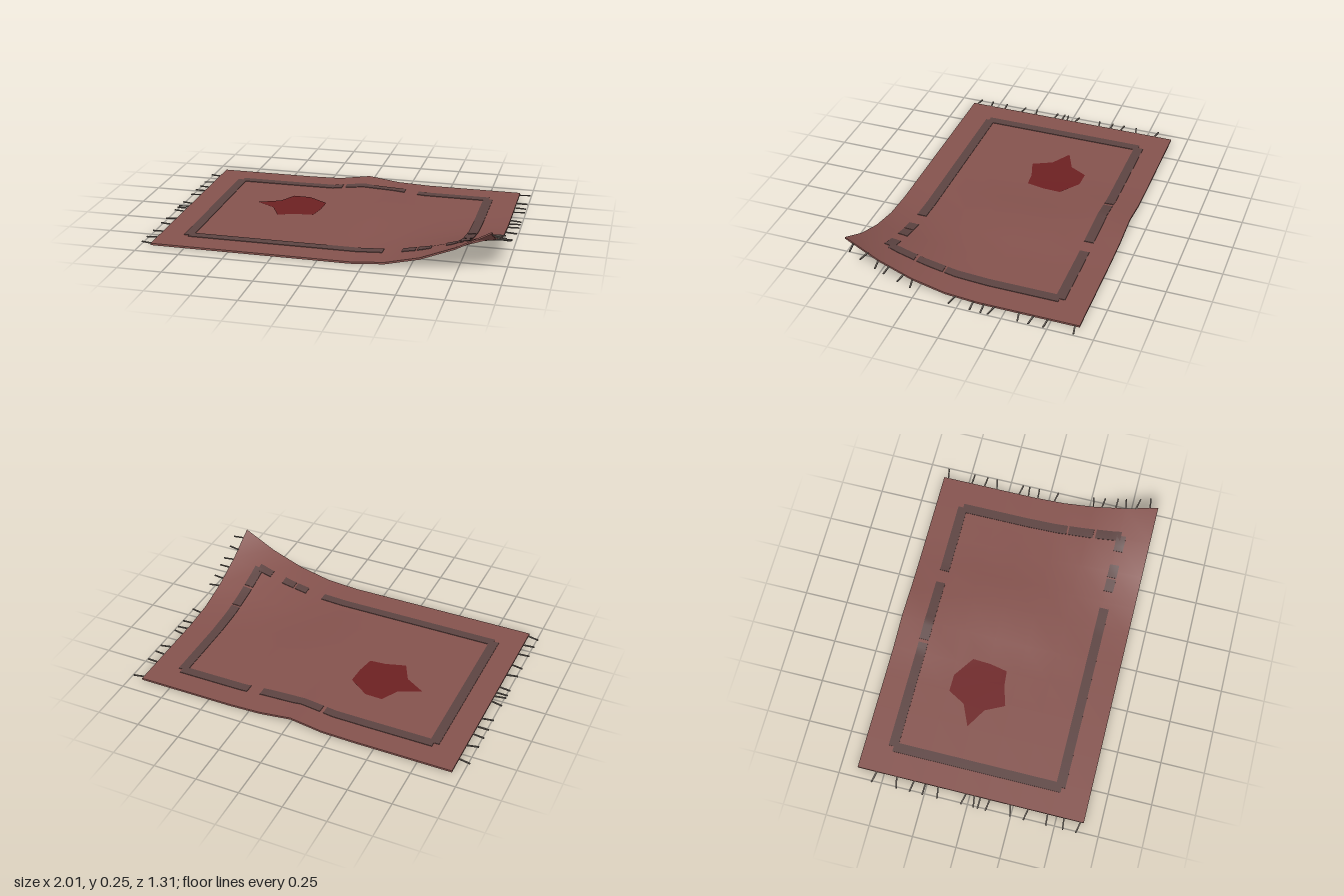
import * as THREE from 'three';

const X0 = -0.945, Z0 = -0.655, STEP = 0.1875, NX = 10, NZ = 7, THICK = 0.011;
const W = 1.875, D = 1.31, SX = W / NX, SZ = D / NZ;

// Height rule: one curled corner plus a slanting fold that fades out
function lift(x, z) {
  const d = Math.hypot(X0 + W - x, Z0 + D - z);
  const curl = 0.238 * Math.max(0, 1 - d / (4 * STEP)) ** 2;
  const centre = 0.01 + 0.3 * (z - Z0);
  const fade = 1 - THREE.MathUtils.smoothstep(z, 0, 0.4);
  const fold = 0.033 * Math.exp(-(((x - centre) / 0.14) ** 2)) * fade;
  return curl + fold;
}

// Height of the faceted top surface
function surface(x, z) {
  const u = THREE.MathUtils.clamp((x - X0) / SX, 0, NX - 1e-6);
  const v = THREE.MathUtils.clamp((z - Z0) / SZ, 0, NZ - 1e-6);
  const i = Math.floor(u), j = Math.floor(v), fx = u - i, fz = v - j;
  const h = (a, b) => lift(X0 + (i + a) * SX, Z0 + (j + b) * SZ);
  const b = h(0, 1), d = h(1, 0);
  if (fx + fz <= 1) return THICK + h(0, 0) * (1 - fx - fz) + d * fx + b * fz;
  return THICK + h(1, 1) * (fx + fz - 1) + b * (1 - fx) + d * (1 - fz);
}

// Lay a flat geometry on the rug
function drape(geo, offset) {
  const p = geo.attributes.position;
  for (let i = 0; i < p.count; i++) {
    p.setY(i, p.getY(i) + surface(p.getX(i), p.getZ(i)) + offset);
  }
  geo.computeVertexNormals();
  return geo;
}

export function createModel() {
  const group = new THREE.Group();
  const mat = (name, color) => {
    const m = new THREE.MeshStandardMaterial({ color });
    m.name = name;
    return m;
  };
  const rugRed = mat('faded red', 0x84524d);
  const borderBrown = mat('border brown', 0x5c4341);
  const stainRed = mat('stain red', 0x6c2022);
  const threadGrey = mat('thread grey', 0x6e665f);
  const add = (name, geo, material, parent = group) => {
    const mesh = new THREE.Mesh(geo, material);
    mesh.name = name;
    parent.add(mesh);
    return mesh;
  };

  // Woven sheet
  const sheet = new THREE.BoxGeometry(W, THICK, D, NX, 1, NZ);
  sheet.translate(X0 + W / 2, THICK / 2, 0);
  const p = sheet.attributes.position;
  for (let i = 0; i < p.count; i++) p.setY(i, p.getY(i) + lift(p.getX(i), p.getZ(i)));
  sheet.computeVertexNormals();
  add('rug', sheet, rugRed);

  // Worn border pieces: x from, x to, z from, z to
  const border = new THREE.Group();
  border.name = 'border';
  group.add(border);
  const pieces = [
    [-0.81, -0.755, -0.49, 0.49],
    [-0.78, -0.14, -0.52, -0.465], [-0.12, 0.25, -0.52, -0.465], [0.33, 0.76, -0.52, -0.465],
    [0.73, 0.785, -0.49, 0.155], [0.73, 0.785, 0.165, 0.315], [0.73, 0.785, 0.33, 0.48],
    [-0.78, 0.325, 0.455, 0.51], [0.43, 0.505, 0.455, 0.51],
    [0.515, 0.59, 0.455, 0.51], [0.67, 0.76, 0.455, 0.51],
  ];
  for (const [x1, x2, z1, z2] of pieces) {
    const w = x2 - x1, d = z2 - z1;
    const geo = new THREE.BoxGeometry(w, 0.004, d, Math.ceil(w / 0.03), 1, Math.ceil(d / 0.03));
    geo.translate((x1 + x2) / 2, 0, (z1 + z2) / 2);
    add('borderPiece', drape(geo, 0.001), borderBrown, border);
  }

  // Irregular stain
  const outline = [
    [-0.565, -0.115], [-0.44, -0.17], [-0.385, -0.27], [-0.285, -0.268], [-0.165, -0.185],
    [-0.17, -0.08], [-0.19, 0.022], [-0.28, 0.03], [-0.395, 0.065], [-0.45, -0.045],
  ].map(([x, z]) => new THREE.Vector2(x, -z));
  const stain = new THREE.ShapeGeometry(new THREE.Shape(outline));
  stain.rotateX(-Math.PI / 2);
  add('stain', drape(stain, 0.004), stainRed);

  // Sparse fringe threads on both short ends
  const ends = [
    [-1, [-0.55, -0.42, -0.33, -0.26, -0.18, -0.03, 0.03, 0.06, 0.11, 0.24, 0.33, 0.45, 0.545, 0.63]],
    [1, [-0.635, -0.48, -0.4, -0.33, -0.18, -0.13, -0.07, 0.04, 0.27, 0.33, 0.41, 0.465, 0.535, 0.605]],
  ];
  for (const [side, rows] of ends) {
    const fringe = new THREE.Group();
    fringe.name = side > 0 ? 'leftFringe' : 'rightFringe';
    group.add(fringe);
    const edge = side > 0 ? X0 + W : X0;
    rows.forEach((z, i) => {
      const thread = add('thread', new THREE.BoxGeometry(0.07, 0.006, 0.008), threadGrey, fringe);
      thread.position.set(edge + side * 0.03, surface(edge, z) - 0.007, z);
      thread.rotation.y = 0.22 * Math.sin(i * 2.4 + side);
    });
  }
  return group;
}
